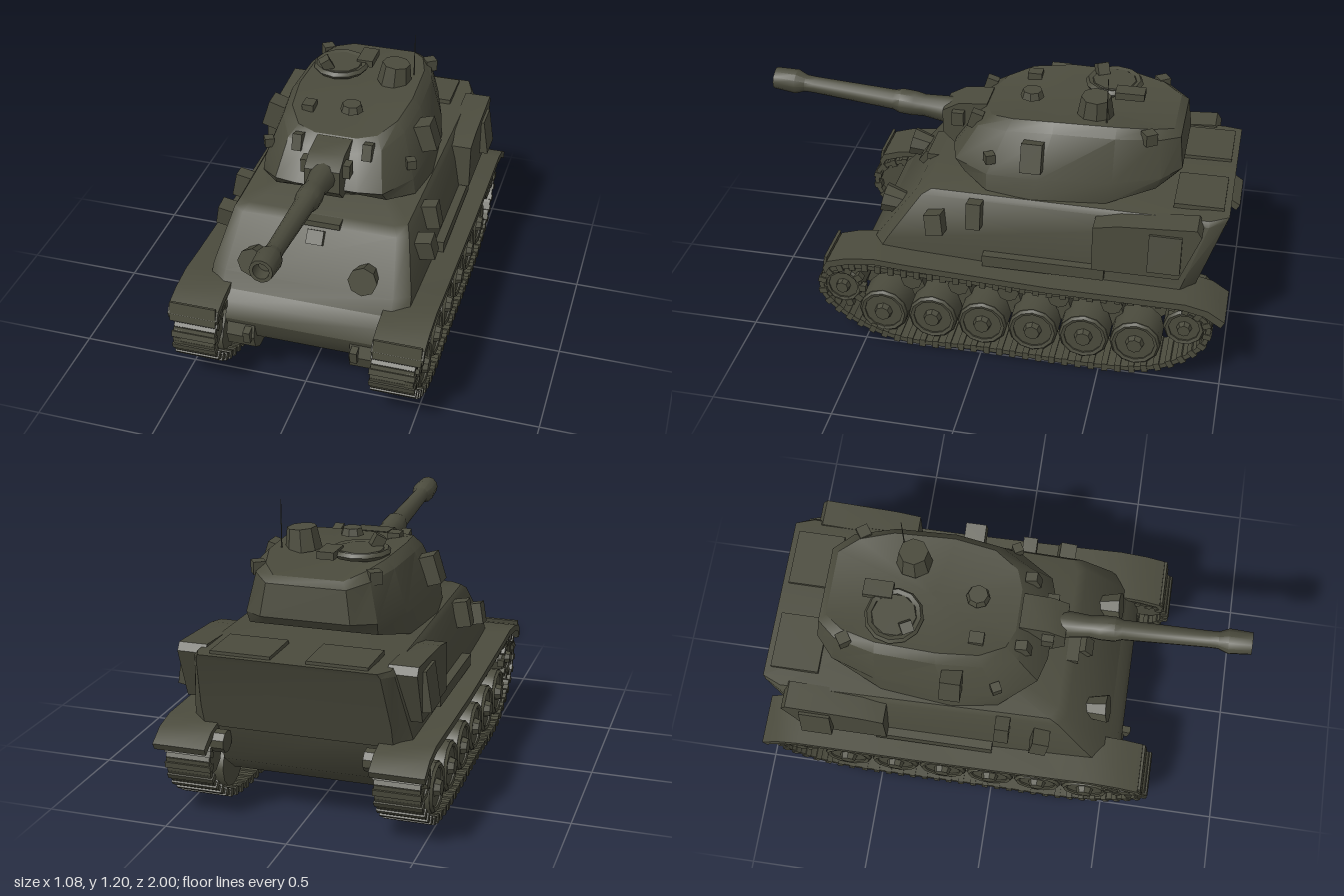
import * as THREE from 'three';
import { toCreasedNormals } from 'three/addons/utils/BufferGeometryUtils.js';

const olive = new THREE.MeshStandardMaterial({ color: 0x4b4b3d });
olive.name = 'olive drab';

export function createModel() {
  const model = new THREE.Group();
  model.name = 'tank';

  const add = (name, geo, pos = [0, 0, 0], rot = [0, 0, 0], parent = model, crease = 0.6) => {
    const mesh = new THREE.Mesh(toCreasedNormals(geo, crease), olive);
    mesh.name = name;
    mesh.position.set(...pos);
    mesh.rotation.set(...rot);
    parent.add(mesh);
    return mesh;
  };
  const box = (w, h, d) => new THREE.BoxGeometry(w, h, d);
  const cyl = (r1, r2, h, n = 12) => new THREE.CylinderGeometry(r1, r2, h, n);
  const group = (name) => {
    const g = new THREE.Group();
    g.name = name;
    model.add(g);
    return g;
  };

  // Side profile given as [z, y], extruded from x0 to x1
  const sideExtrude = (pts, x0, x1) => {
    const shape = new THREE.Shape(pts.map(([z, y]) => new THREE.Vector2(z, y)));
    const g = new THREE.ExtrudeGeometry(shape, { depth: x1 - x0, bevelEnabled: false });
    return g.rotateY(-Math.PI / 2).translate(x1, 0, 0);
  };

  // Skin over stacked rings; each ring lists its +x half from front to rear
  const loft = (halves) => {
    const rings = halves.map((h) => [...h, ...h.map(([x, y, z]) => [-x, y, z]).reverse()]);
    const n = rings[0].length;
    const pos = rings.flat(2);
    const idx = [];
    for (let r = 0; r < rings.length - 1; r++) {
      for (let i = 0; i < n; i++) {
        const j = (i + 1) % n, a = r * n, b = a + n;
        idx.push(a + i, a + j, b + j, a + i, b + j, b + i);
      }
    }
    [0, rings.length - 1].forEach((r, top) => {
      const c = [0, 1, 2].map((k) => rings[r].reduce((s, p) => s + p[k], 0) / n);
      const ci = pos.length / 3;
      pos.push(...c);
      for (let i = 0; i < n; i++) {
        const a = r * n + i, b = r * n + (i + 1) % n;
        idx.push(ci, top ? a : b, top ? b : a);
      }
    });
    const g = new THREE.BufferGeometry();
    g.setAttribute('position', new THREE.Float32BufferAttribute(pos, 3));
    g.setIndex(idx);
    return g;
  };

  // Hull
  add('lowerHull', sideExtrude([[0.46, 0.44], [0.53, 0.37], [0.55, 0.3], [0.52, 0.21], [0.44, 0.14],
    [-0.7, 0.14], [-0.8, 0.22], [-0.87, 0.42]], -0.33, 0.33));
  add('upperHull', loft([
    [[0.36, 0.38, 0.51], [0.43, 0.38, 0.46], [0.445, 0.38, -0.8], [0.38, 0.38, -0.86]],
    [[0.36, 0.47, 0.45], [0.425, 0.47, 0.41], [0.43, 0.47, -0.83], [0.38, 0.47, -0.89]],
    [[0.33, 0.67, 0.3], [0.375, 0.67, 0.27], [0.395, 0.68, -0.9], [0.36, 0.69, -0.965]],
    [[0.31, 0.695, 0.26], [0.36, 0.695, 0.23], [0.38, 0.7, -0.9], [0.35, 0.71, -0.975]],
  ]));
  add('driverVisor', box(0.19, 0.025, 0.07), [0, 0.68, 0.28]);
  add('bowHousing', box(0.07, 0.06, 0.06), [0, 0.625, 0.33], [-0.6, 0, 0]);

  // Mirrored hull fittings
  for (const s of [1, -1]) {
    const side = s > 0 ? 'left' : 'right';
    const fit = group(side + 'HullFittings');
    add('headlamp', cyl(0.062, 0.045, 0.1, 8), [s * 0.235, 0.535, 0.42], [1.35, 0, 0], fit);
    add('finalDrive', cyl(0.1, 0.1, 0.12, 10), [s * 0.265, 0.225, 0.46], [0, 0, Math.PI / 2], fit);
    add('towHook', box(0.03, 0.06, 0.04), [s * 0.23, 0.24, 0.56], [0.2, 0, 0], fit);
    add('deckHatch', box(0.24, 0.02, 0.2), [s * 0.19, 0.712, -0.85], [0, 0, 0], fit);
    add('rearStowage', sideExtrude([[-0.45, 0.47], [-0.45, 0.67], [-0.55, 0.69], [-0.86, 0.71],
      [-0.88, 0.68], [-0.8, 0.47]], s > 0 ? 0.36 : -0.475, s > 0 ? 0.475 : -0.36), [0, 0, 0], [0, 0, 0], fit);
    add('stowagePack', box(0.07, 0.16, 0.13), [s * 0.465, 0.59, -0.74], [0, 0, s * 0.15], fit);
    add('sideBox', box(0.08, 0.09, 0.07), [s * 0.43, 0.58, 0.2], [0.15, 0, s * 0.2], fit);
    add('sideBracket', box(0.07, 0.11, 0.06), [s * 0.415, 0.63, 0.04], [0, 0, s * 0.2], fit);
    add('tool', box(0.04, 0.05, 0.5), [s * 0.445, 0.44, -0.25], [0, 0, 0], fit);
    add('exhaust', cyl(0.045, 0.045, 0.12, 9), [s * 0.34, 0.33, -0.88], [0, 0, Math.PI / 2], fit);

    // Fender, drooping at both ends
    const top = [[0.66, 0.36], [0.64, 0.395], [0.56, 0.42], [0.44, 0.435], [0.3, 0.425], [-0.3, 0.4],
      [-0.84, 0.4], [-0.93, 0.38], [-1, 0.335]];
    const under = top.map(([z, y]) => [z * 0.985, y - 0.028]).reverse();
    const fx = s > 0 ? [0.325, 0.54] : [-0.54, -0.325];
    add(side + 'Fender', sideExtrude([...top, ...under], ...fx));
    add(side + 'FenderLip', box(0.2, 0.085, 0.012), [s * 0.432, 0.37, 0.652], [-0.15, 0, 0]);

    // Track: plates laid along a closed loop
    const track = group(side + 'Track');
    const loop = new THREE.CatmullRomCurve3([[0.36, 0.02], [0, 0.018], [-0.64, 0.02], [-0.8, 0.075],
      [-0.92, 0.19], [-0.93, 0.285], [-0.84, 0.35], [-0.3, 0.35], [0.3, 0.36], [0.58, 0.355],
      [0.665, 0.3], [0.67, 0.21], [0.56, 0.1]].map(([z, y]) => new THREE.Vector3(0, y, z)), true, 'centripetal');
    const count = 64, pitch = loop.getLength() / count;
    for (let i = 0; i < count; i++) {
      const p = loop.getPointAt(i / count), t = loop.getTangentAt(i / count);
      const rot = [-Math.atan2(t.y, t.z), 0, 0];
      add('trackLink', box(0.18, 0.02, pitch * 1.08), [s * 0.42, p.y, p.z], rot, track);
      add('trackCleat', box(0.19, 0.034, pitch * 0.45), [s * 0.42, p.y, p.z], rot, track);
    }

    // Running gear
    const gear = group(side + 'RunningGear');
    const wheel = (name, r, y, z, n) => {
      add(name, cyl(r, r, 0.13, n), [s * 0.425, y, z], [0, 0, Math.PI / 2], gear);
      add(name + 'Rim', new THREE.TorusGeometry(r * 0.86, 0.012, 5, n), [s * 0.49, y, z], [0, Math.PI / 2, 0], gear);
      add(name + 'Hub', cyl(r * 0.3, r * 0.38, 0.03, 8), [s * 0.5, y, z], [0, 0, -s * Math.PI / 2], gear);
    };
    for (let i = 0; i < 6; i++) wheel('roadWheel', 0.105, 0.14, 0.42 - i * 0.213, 12);
    wheel('driveSprocket', 0.085, 0.25, 0.59, 10);
    wheel('idlerWheel', 0.085, 0.25, -0.84, 10);
    for (const z of [0.3, 0.1, -0.11, -0.32, -0.54]) {
      add('returnRoller', cyl(0.045, 0.045, 0.12, 8), [s * 0.41, 0.3, z], [0, 0, Math.PI / 2], gear);
      add('suspensionArm', box(0.07, 0.2, 0.06), [s * 0.37, 0.25, z], [0.3, 0, 0], gear);
    }
    for (let i = 0; i < 10; i++) {
      const a = (i / 10) * Math.PI * 2;
      add('sprocketTooth', box(0.03, 0.03, 0.03),
        [s * 0.49, 0.25 + Math.sin(a) * 0.085, 0.59 + Math.cos(a) * 0.085], [-a, 0, 0], gear);
    }
  }

  // Turret shell
  const turret = group('turret');
  add('turretShell', loft([
    [[0.13, 0.73, 0.13], [0.24, 0.72, 0.12], [0.335, 0.7, 0.01], [0.365, 0.695, -0.18], [0.335, 0.7, -0.48],
      [0.26, 0.75, -0.67], [0.17, 0.775, -0.74]],
    [[0.13, 0.78, 0.19], [0.23, 0.77, 0.16], [0.325, 0.77, 0.01], [0.345, 0.78, -0.2], [0.325, 0.79, -0.5],
      [0.265, 0.8, -0.69], [0.18, 0.81, -0.765]],
    [[0.11, 0.91, 0.1], [0.2, 0.92, 0.07], [0.265, 0.945, -0.06], [0.285, 0.965, -0.25], [0.275, 0.965, -0.5],
      [0.23, 0.955, -0.67], [0.16, 0.94, -0.75]],
    [[0.09, 0.95, 0.05], [0.17, 0.96, 0.02], [0.23, 0.985, -0.08], [0.25, 1, -0.25], [0.24, 1, -0.5],
      [0.2, 0.985, -0.64], [0.14, 0.965, -0.72]],
  ]), [0, 0, 0], [0, 0, 0], turret, 0.5);
  add('turretRing', cyl(0.3, 0.3, 0.04, 20), [0, 0.7, -0.2], [0, 0, 0], turret);

  // Mantlet and gun
  add('mantlet', sideExtrude([[0.08, 0.75], [0.2, 0.75], [0.25, 0.8], [0.25, 0.9], [0.18, 0.94], [0.06, 0.95]],
    -0.075, 0.075), [0, 0, 0], [0, 0, 0], turret);
  const barrel = [[0, 0], [0.058, 0], [0.056, 0.1], [0.046, 0.2], [0.052, 0.24], [0.052, 0.3], [0.042, 0.33],
    [0.035, 0.68], [0.036, 0.72], [0.052, 0.76], [0.046, 0.855], [0.032, 0.855], [0.03, 0.8], [0, 0.8]];
  add('gunBarrel', new THREE.LatheGeometry(barrel.map(([x, y]) => new THREE.Vector2(x, y)), 12),
    [0, 0.855, 0.149], [Math.PI / 2 - 0.09, 0, 0], turret);

  // Turret cheeks, rails and lifting eyes
  for (const s of [1, -1]) {
    add('cheekBox', box(0.075, 0.12, 0.085), [s * 0.335, 0.88, -0.18], [0, 0, s * 0.3], turret);
    add('sightBlock', box(0.04, 0.07, 0.05), [s * 0.15, 0.92, 0.09], [-0.3, 0, 0], turret);
    add('mantletBolt', box(0.03, 0.06, 0.05), [s * 0.09, 0.88, 0.18], [0, 0, 0], turret);
    add('liftingEye', box(0.05, 0.05, 0.05), [s * 0.235, 0.965, -0.63], [0, 0.6, 0], turret);
    add('frontEye', box(0.04, 0.04, 0.04), [s * 0.31, 0.84, 0.0], [0, 0.5, 0], turret);
  }

  // Roof fittings
  add('commanderCupola', cyl(0.06, 0.075, 0.09, 8), [0.135, 1.03, -0.4], [0, 0.2, -0.08], turret);
  add('loaderHatchRing', new THREE.TorusGeometry(0.105, 0.016, 5, 12), [-0.12, 1.008, -0.44], [Math.PI / 2, 0, 0], turret);
  add('loaderHatch', cyl(0.09, 0.1, 0.025, 10), [-0.12, 1.008, -0.44], [0, 0, 0], turret);
  add('periscope', box(0.045, 0.05, 0.05), [-0.17, 1.035, -0.38], [0, 0.5, 0.5], turret);
  add('hatchHinge', box(0.07, 0.03, 0.12), [-0.02, 1.015, -0.52], [0, 0, 0], turret);
  add('roofVent', cyl(0.04, 0.05, 0.03, 8), [0.02, 0.995, -0.12], [0, 0, 0], turret);
  add('roofSight', box(0.05, 0.03, 0.06), [-0.16, 0.985, -0.1], [0, 0, 0], turret);
  add('antenna', cyl(0.0015, 0.003, 0.21, 5), [0.205, 1.087, -0.455], [0, 0, 0], turret);

  return model;
}
